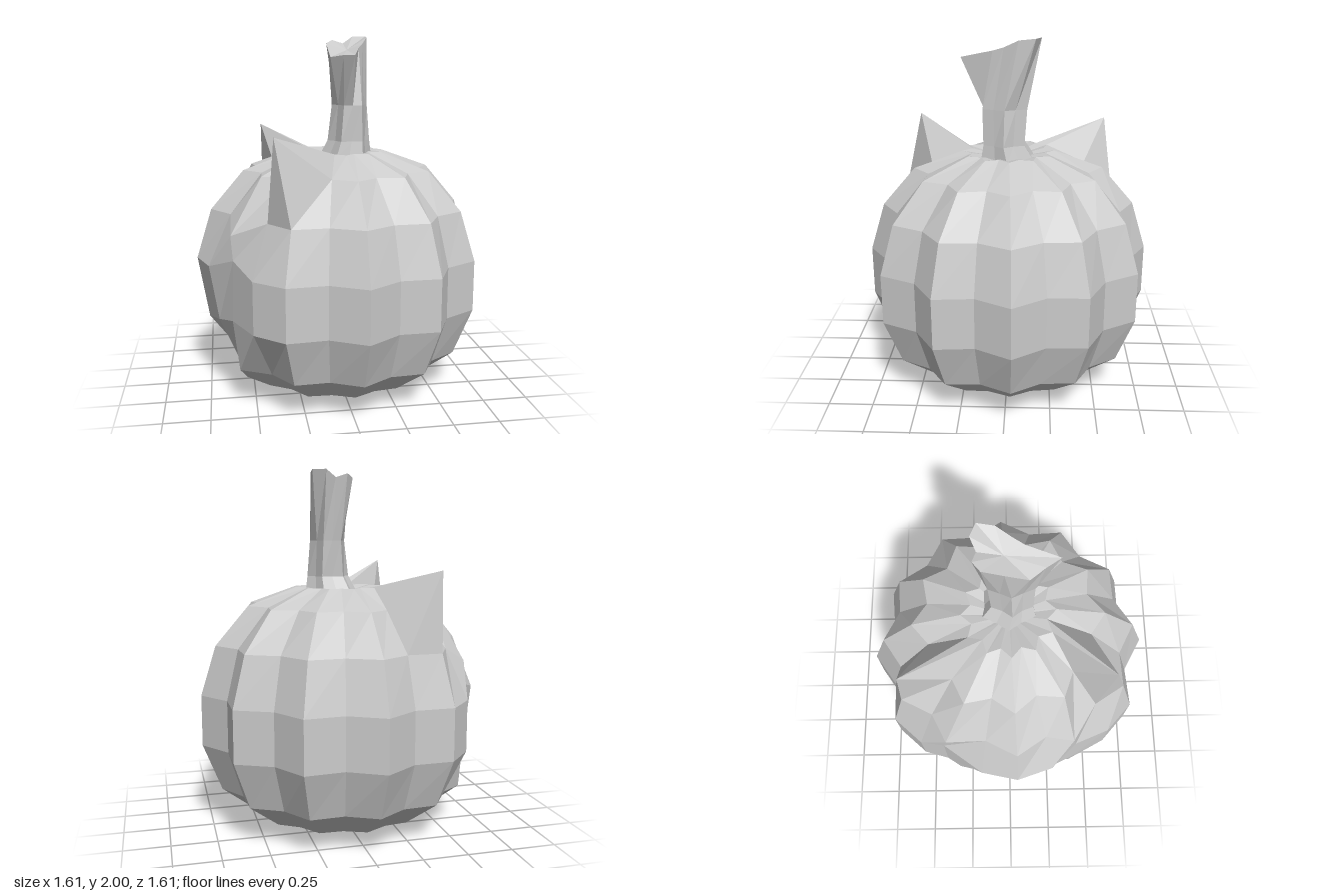
import * as THREE from 'three';

const material = new THREE.MeshStandardMaterial({ color: 0xcccccc, flatShading: true });

// Skins a stack of closed rings (bottom to top), skipping collapsed triangles
function skin(rings, name) {
  const out = [];
  const tri = (a, b, c) => {
    const area = b.clone().sub(a).cross(c.clone().sub(a)).length();
    if (area > 1e-7) for (const p of [a, b, c]) out.push(p.x, p.y, p.z);
  };
  for (let j = 0; j < rings.length - 1; j++) {
    const lo = rings[j], hi = rings[j + 1], n = lo.length;
    for (let i = 0; i < n; i++) {
      const k = (i + 1) % n;
      tri(lo[i], hi[i], lo[k]);
      tri(lo[k], hi[i], hi[k]);
    }
  }
  const g = new THREE.BufferGeometry();
  g.setAttribute('position', new THREE.Float32BufferAttribute(out, 3));
  g.computeVertexNormals();
  const mesh = new THREE.Mesh(g, material);
  mesh.name = name;
  return mesh;
}

// Ribbed body: 12 ridges and 12 grooves, with ears and a face on the -x side
function makeBody() {
  // [ridge radius, groove radius, height]
  const profile = [
    [0, 0, 0], [0.25, 0.25, 0.03], [0.5, 0.46, 0.07], [0.7, 0.63, 0.22], [0.805, 0.715, 0.485],
    [0.805, 0.715, 0.77], [0.72, 0.645, 1.045], [0.535, 0.46, 1.26], [0.26, 0.21, 1.36], [0.08, 0.06, 1.33],
  ];
  const rings = profile.map(([ridge, groove, y], j) => {
    const ring = [];
    for (let i = 0; i < 24; i++) {
      const a = THREE.MathUtils.degToRad(-3 + 15 * i);
      let r = i % 2 ? groove : ridge;
      // grooves are nearly filled in across the face
      if (i % 2 && i >= 9 && i <= 15 && j >= 4 && j <= 5) r = ridge * 0.965;
      ring.push(new THREE.Vector3(r * Math.cos(a), y, r * Math.sin(a)));
    }
    return ring;
  });

  // Ears: one ridge point on each side drawn out to a tip
  rings[7][8].set(-0.4, 1.49, 0.55);
  rings[7][16].set(-0.4, 1.47, -0.57);

  // Eyes: brow pulled down over a sunken point
  for (const [i, s] of [[10, 1], [14, -1]]) {
    rings[6][i].set(-0.62, 0.96, s * 0.36);
    rings[5][i].set(-0.61, 0.83, s * 0.38);
    rings[4][i].set(-0.62, 0.5, s * 0.38);
  }
  // Mouth: lower face drawn in above a chin
  rings[4][11].set(-0.69, 0.46, 0.22);
  rings[4][12].set(-0.745, 0.42, 0.04);
  rings[4][13].set(-0.7, 0.46, -0.16);
  for (const i of [11, 12, 13]) {
    rings[3][i].x = -0.59;
    rings[2][i].x = -0.54;
  }
  return skin(rings, 'body');
}

// Twisted stem: fluted rings with an uneven, hollowed top
function makeStem() {
  const loop = (pts) => pts.map((p) => new THREE.Vector3(...p));
  const section = (cx, cz, rx, rz, y, groove) => {
    const ring = [];
    for (let i = 0; i < 12; i++) {
      const a = (i * Math.PI) / 6, k = i % 2 ? groove : 1;
      ring.push(new THREE.Vector3(cx + rx * k * Math.cos(a), y, cz + rz * k * Math.sin(a)));
    }
    return ring;
  };
  const top = loop([
    [0.18, 1.99, -0.06], [0.14, 1.95, 0.02], [0.11, 1.93, 0.08], [0.06, 1.89, 0.255],
    [0.01, 1.89, 0.18], [-0.05, 1.88, 0.1], [-0.045, 1.92, -0.02], [-0.04, 1.96, -0.13],
    [0.0, 1.98, -0.17], [0.06, 1.96, -0.15], [0.12, 2.0, -0.18], [0.19, 2.0, -0.15],
  ]);
  const hollow = top.map(() => new THREE.Vector3(0.06, 1.92, -0.02));
  return skin([
    section(0.05, 0.0, 0.15, 0.17, 1.33, 0.8),
    section(0.065, 0.02, 0.12, 0.13, 1.42, 0.8),
    section(0.07, 0.015, 0.1, 0.14, 1.62, 0.85),
    top, hollow,
  ], 'stem');
}

export function createModel() {
  const model = new THREE.Group();
  model.name = 'pumpkin';
  model.add(makeBody(), makeStem());
  return model;
}
